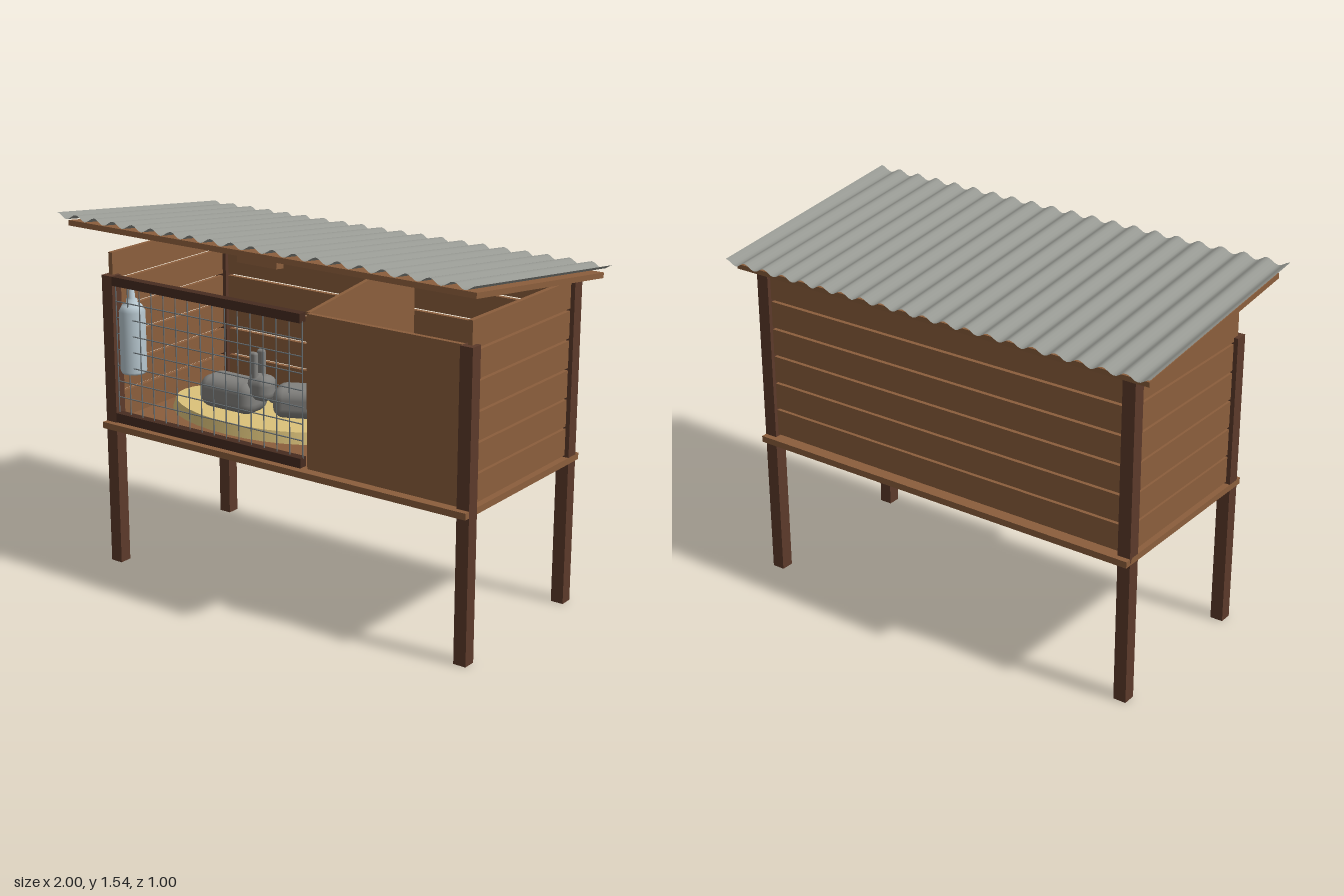
import * as THREE from 'three';
import { RoundedBoxGeometry } from 'three/addons/geometries/RoundedBoxGeometry.js';

const paint = (name, color, extra = {}) => {
  const m = new THREE.MeshStandardMaterial({ color, ...extra });
  m.name = name;
  return m;
};

export function createModel() {
  const wood = paint('wood', 0x8b5e3c);
  const darkWood = paint('dark wood', 0x5c3a2a);
  const frameWood = paint('frame wood', 0x472c20);
  const metal = paint('corrugated metal', 0x969892, { side: THREE.DoubleSide });
  const wire = paint('wire', 0x70787c);
  const plastic = paint('bottle plastic', 0xb8c8d0);
  const fur = paint('grey fur', 0x82817e);
  const straw = paint('straw', 0xdcc27a);

  const model = new THREE.Group();
  model.name = 'hutch';

  const add = (parent, name, geometry, material, x = 0, y = 0, z = 0) => {
    const mesh = new THREE.Mesh(geometry, material);
    mesh.name = name;
    mesh.position.set(x, y, z);
    parent.add(mesh);
    return mesh;
  };
  // Box given by its limits on each axis
  const box = (parent, name, mat, [x0, x1], [y0, y1], [z0, z1]) =>
    add(parent, name, new THREE.BoxGeometry(x1 - x0, y1 - y0, z1 - z0), mat,
      (x0 + x1) / 2, (y0 + y1) / 2, (z0 + z1) / 2);
  const group = (parent, name) => {
    const g = new THREE.Group();
    g.name = name;
    parent.add(g);
    return g;
  };

  // Floor and posts
  box(model, 'floor', wood, [-0.9, 0.9], [0.605, 0.632], [-0.46, 0.38]);
  for (const s of [-1, 1]) {
    const span = s < 0 ? [-0.9, -0.845] : [0.845, 0.9];
    box(model, 'frontLeg', darkWood, span, [0, 1.262], [0.3, 0.355]);
    box(model, 'backLeg', darkWood, span, [0, 1.36], [-0.435, -0.38]);
  }

  // Walls of spaced planks
  const walls = group(model, 'plankWalls');
  for (let i = 0; i < 6; i++) {
    const y = [0.64 + i * 0.121, 0.751 + i * 0.121];
    box(walls, 'backPlank', wood, [-0.872, 0.872], y, [-0.418, -0.398]);
    for (const s of [-1, 1]) {
      box(walls, 'sidePlank', wood, s < 0 ? [-0.882, -0.862] : [0.862, 0.882], y, [-0.398, 0.33]);
    }
  }

  // Solid front of the nest box and the sloping partition beside it
  box(model, 'nestPanel', wood, [0.142, 0.846], [0.632, 1.262], [0.318, 0.338]);
  const side = new THREE.Shape();
  side.moveTo(-0.318, 0.632);
  side.lineTo(0.398, 0.632);
  side.lineTo(0.398, 1.35);
  side.lineTo(-0.318, 1.262);
  const partition = add(model, 'partition', new THREE.ExtrudeGeometry(side, { depth: 0.018, bevelEnabled: false }),
    wood, 0.124, 0, 0);
  partition.rotation.y = Math.PI / 2;

  // Wire front
  const door = group(model, 'wireDoor');
  box(door, 'topRail', frameWood, [-0.845, 0.12], [1.224, 1.262], [0.318, 0.356]);
  box(door, 'bottomRail', frameWood, [-0.845, 0.12], [0.635, 0.675], [0.318, 0.356]);
  const upright = new THREE.CylinderGeometry(0.0025, 0.0025, 0.56, 6);
  for (let i = 0; i <= 15; i++) add(door, 'verticalWire', upright, wire, -0.842 + i * 0.064, 0.95, 0.337);
  const cross = new THREE.CylinderGeometry(0.0025, 0.0025, 0.965, 6).rotateZ(Math.PI / 2);
  for (let i = 1; i < 8; i++) add(door, 'horizontalWire', cross, wire, -0.3625, 0.675 + i * 0.0686, 0.337);

  // Water bottle
  const outline = [[0, 0.85], [0.05, 0.85], [0.055, 0.86], [0.055, 1.115], [0.042, 1.14],
    [0.024, 1.15], [0.024, 1.165], [0.014, 1.17], [0.012, 1.21], [0, 1.215]];
  add(model, 'waterBottle', new THREE.LatheGeometry(outline.map(p => new THREE.Vector2(...p)), 16),
    plastic, -0.79, 0, 0.298);

  // Straw bed
  const bed = add(model, 'strawBed', new THREE.CylinderGeometry(0.96, 1, 0.048, 32), straw, -0.38, 0.656, -0.06);
  bed.scale.set(0.46, 1, 0.26);

  // Rabbits, each facing +x before turning
  const rabbit = (x, z, turn, size) => {
    const r = group(model, 'rabbit');
    r.position.set(x, 0.675, z);
    r.rotation.y = turn;
    r.scale.setScalar(size);
    add(r, 'body', new RoundedBoxGeometry(0.28, 0.14, 0.16, 3, 0.05), fur, 0, 0.07, 0);
    add(r, 'head', new RoundedBoxGeometry(0.115, 0.11, 0.1, 3, 0.04), fur, 0.15, 0.12, 0);
    add(r, 'tail', new THREE.SphereGeometry(0.028, 10, 8), fur, -0.142, 0.08, 0);
    for (const s of [-1, 1]) {
      add(r, 'ear', new RoundedBoxGeometry(0.038, 0.12, 0.025, 2, 0.011), fur, 0.128, 0.215, s * 0.026);
    }
  };
  rabbit(-0.49, 0.01, 0, 1);
  rabbit(-0.18, -0.08, 0.45, 0.95);

  // Tilted roof: board, grip and corrugated sheet
  const roof = group(model, 'roof');
  roof.position.y = 1.432;
  roof.rotation.x = -0.124;
  box(roof, 'roofBoard', wood, [-0.975, 0.975], [-0.011, 0.011], [-0.47, 0.462]);
  box(roof, 'roofGrip', wood, [-0.1, 0.09], [-0.036, -0.011], [0.415, 0.459]);
  const sheet = new THREE.PlaneGeometry(2, 1.006, 160, 1).rotateX(-Math.PI / 2);
  const p = sheet.attributes.position;
  for (let i = 0; i < p.count; i++) p.setY(i, 0.011 * Math.cos((p.getX(i) + 1) * 20 * Math.PI));
  sheet.computeVertexNormals();
  add(roof, 'corrugatedSheet', sheet, metal, 0, 0.031, 0);

  return model;
}
